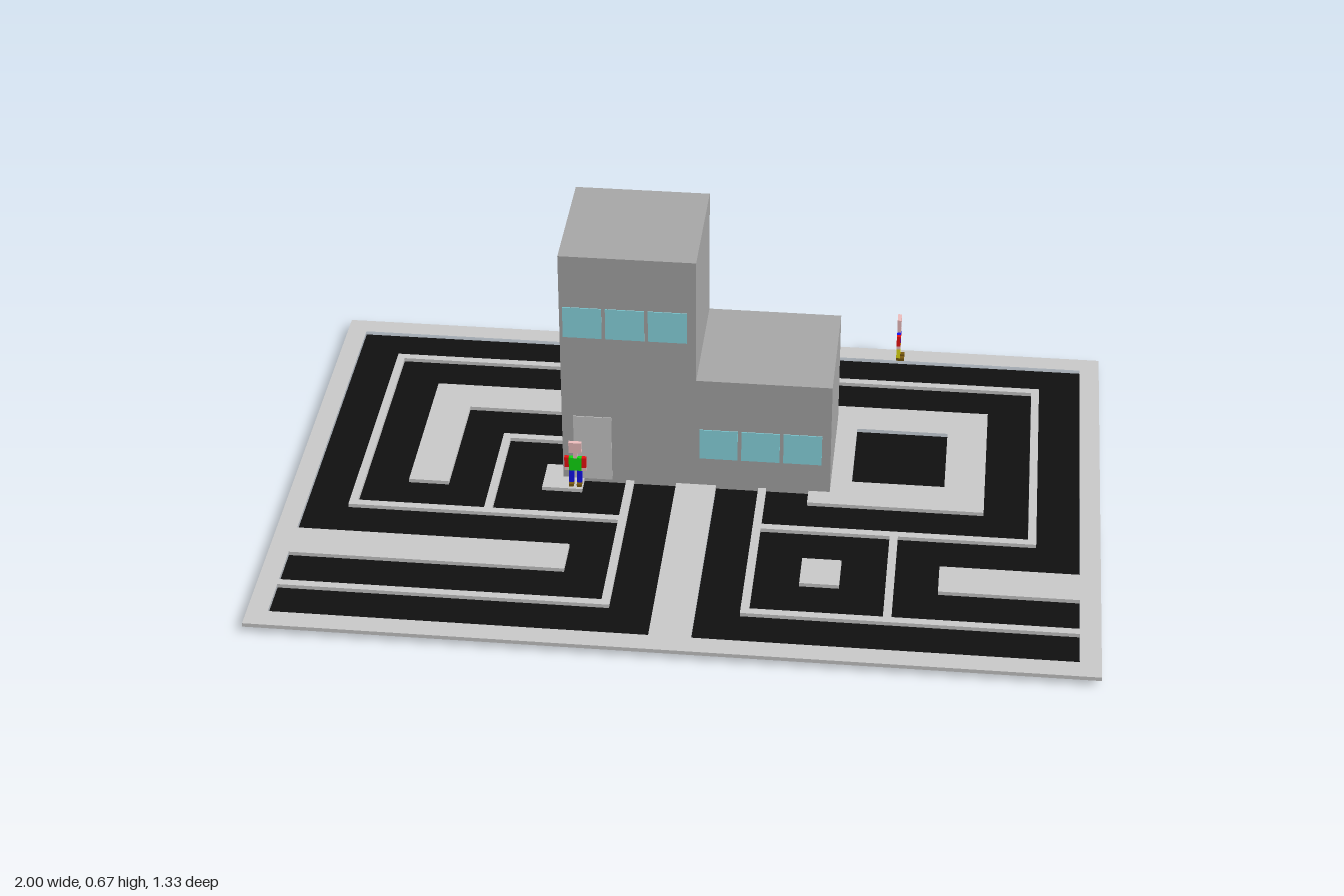
import * as THREE from 'three';

const mat = (color) => new THREE.MeshStandardMaterial({ color });
const MAT = {
  pale: mat(0xcccccc), wall: mat(0xa9a9a9), black: mat(0x101010), glass: mat(0x8cdce6),
  skin: mat(0xf0c0c0), red: mat(0xee1111), green: mat(0x11dd11), blue: mat(0x1111ee),
  yellow: mat(0xe6e011), brown: mat(0x7a5a10),
};

// Box given by its extents along x, y and z
function box(parent, name, m, x0, x1, y0, y1, z0, z1) {
  const mesh = new THREE.Mesh(new THREE.BoxGeometry(x1 - x0, y1 - y0, z1 - z0), m);
  mesh.position.set((x0 + x1) / 2, (y0 + y1) / 2, (z0 + z1) / 2);
  mesh.name = name;
  parent.add(mesh);
  return mesh;
}

const corners = (pts) => pts.map(([x, z]) => new THREE.Vector2(x, -z));
const rect = (x0, x1, z0, z1) => [[x0, z0], [x1, z0], [x1, z1], [x0, z1]];

// Flat plate from a ground plan (x, z) with holes, between two heights
function plate(parent, name, m, outline, holes, y0, y1) {
  const shape = new THREE.Shape(corners(outline));
  holes.forEach((h) => shape.holes.push(new THREE.Path(corners(h))));
  const geo = new THREE.ExtrudeGeometry(shape, { depth: y1 - y0, bevelEnabled: false });
  geo.rotateX(-Math.PI / 2).translate(0, y0, 0);
  const mesh = new THREE.Mesh(geo, m);
  mesh.name = name;
  parent.add(mesh);
}

const TOP = 0.025, MID = 0.015, LOW = 0.002;

function createGround() {
  const g = new THREE.Group();
  g.name = 'ground';

  // Pavement frame with an opening for each half
  plate(g, 'pavement', MAT.pale, rect(-1, 1, -0.667, 0.667),
    [rect(-0.95, -0.05, -0.615, 0.615), rect(0.05, 0.95, -0.615, 0.615)], MID, TOP);

  // Right-hand half: ring, square island and a notch from the outer edge
  const ring = rect(0.28, 0.715, -0.385, 0.05);
  const court = rect(0.385, 0.615, -0.285, -0.05);
  const square = rect(0.285, 0.38, 0.28, 0.38);
  plate(g, 'roadEast', MAT.black,
    [[0.05, -0.615], [0.95, -0.615], [0.95, 0.28], [0.615, 0.28], [0.615, 0.38],
      [0.95, 0.38], [0.95, 0.615], [0.05, 0.615]], [ring, square], LOW, MID);
  plate(g, 'courtRoad', MAT.black, court, [], LOW, MID);
  plate(g, 'ringIsland', MAT.pale, ring, [court], MID, TOP);
  plate(g, 'squareIsland', MAT.pale, square, [], MID, TOP);
  plate(g, 'eastPier', MAT.pale, rect(0.615, 0.95, 0.28, 0.38), [], MID, TOP);

  // Left-hand half: angled island, small island and a long notch
  const angle = [[-0.715, -0.385], [-0.28, -0.385], [-0.28, -0.285],
    [-0.615, -0.285], [-0.615, 0.05], [-0.715, 0.05]];
  const small = rect(-0.38, -0.28, -0.05, 0.05);
  plate(g, 'roadWest', MAT.black,
    [[-0.95, -0.615], [-0.05, -0.615], [-0.05, 0.615], [-0.95, 0.615], [-0.95, 0.38],
      [-0.28, 0.38], [-0.28, 0.28], [-0.95, 0.28]], [angle, small], LOW, MID);
  plate(g, 'angleIsland', MAT.pale, angle, [], MID, TOP);
  plate(g, 'smallIsland', MAT.pale, small, [], MID, TOP);
  plate(g, 'westPier', MAT.pale, rect(-0.95, -0.28, 0.28, 0.38), [], MID, TOP);

  // Narrow kerbs that go right through the road
  const kerb = (x0, x1, z0, z1) => box(g, 'kerb', MAT.pale, x0, x1, 0.001, TOP, z0, z1);
  for (const s of [-1, 1]) {
    const across = (a, b, z0, z1) => kerb(Math.min(s * a, s * b), Math.max(s * a, s * b), z0, z1);
    across(0.155, 0.175, -0.515, 0.51);
    across(0.175, 0.845, -0.515, -0.495);
    across(0.825, 0.845, -0.495, 0.15);
    across(0.175, 0.845, 0.15, 0.17);
    across(0.175, 0.95, 0.49, 0.51);
  }
  kerb(0.49, 0.51, 0.17, 0.49);
  kerb(-0.51, -0.49, -0.175, 0.15);
  kerb(-0.49, -0.3, -0.175, -0.155);
  return g;
}

function createBuilding() {
  const g = new THREE.Group();
  g.name = 'building';
  box(g, 'tower', MAT.wall, -0.333, 0, 0, 0.667, -0.333, 0);
  box(g, 'wing', MAT.wall, 0, 0.333, 0, 0.333, -0.333, 0);
  box(g, 'door', MAT.pale, -0.305, -0.21, TOP, 0.21, -0.002, 0.002);
  // Two rows of three windows
  for (const [x, y] of [[-0.325, 0.44], [0.008, 0.105]]) {
    for (let i = 0; i < 3; i++) {
      const x0 = x + i * 0.104;
      box(g, 'window', MAT.glass, x0, x0 + 0.095, y, y + 0.085, -0.002, 0.002);
    }
  }
  return g;
}

// Small blocky figure facing +z before it is turned
function createFigure(name, x, z, turn, shirt, trousers, shoes, toe) {
  const g = new THREE.Group();
  g.name = name;
  const d = 0.005;
  box(g, 'head', MAT.skin, -0.016, 0.016, 0.095, 0.125, -d, d);
  box(g, 'neck', MAT.skin, -0.005, 0.005, 0.08, 0.095, -d, d);
  box(g, 'torso', shirt, -0.016, 0.016, 0.043, 0.081, -d, d);
  for (const s of [-1, 1]) {
    const pair = (part, m, w, cx, y0, y1, z1) =>
      box(g, part, m, s * cx - w / 2, s * cx + w / 2, y0, y1, -d, z1);
    pair('arm', MAT.red, 0.011, 0.0215, 0.052, 0.081, d);
    pair('hand', MAT.skin, 0.011, 0.0215, 0.043, 0.052, d);
    pair('leg', trousers, 0.012, 0.01, 0.008, 0.043, d);
    pair('shoe', shoes, 0.012, 0.01, 0, 0.008, toe);
  }
  g.position.set(x, TOP, z);
  g.rotation.y = turn;
  return g;
}

export function createModel() {
  const model = new THREE.Group();
  model.name = 'buildingWithMazeGround';
  model.add(createGround(), createBuilding());
  model.add(createFigure('frontFigure', -0.298, 0.028, 0, MAT.green, MAT.blue, MAT.brown, 0.014));
  model.add(createFigure('backFigure', -0.018, -0.339, Math.PI, MAT.green, MAT.blue, MAT.red, 0.035));
  model.add(createFigure('sideFigure', 0.473, -0.63, Math.PI / 2, MAT.blue, MAT.yellow, MAT.brown, 0.016));
  return model;
}
